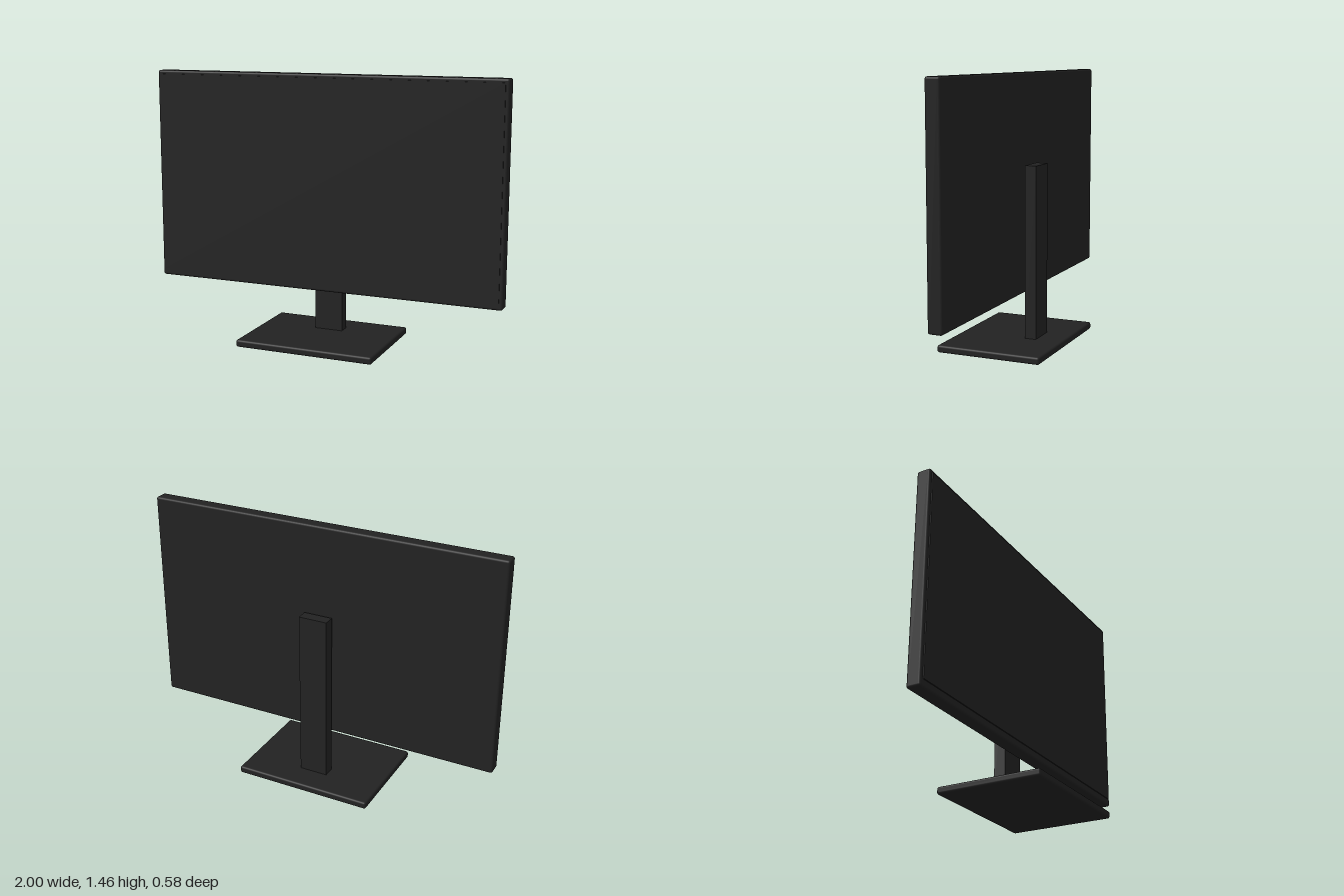
import * as THREE from 'three';
import { RoundedBoxGeometry } from 'three/addons/geometries/RoundedBoxGeometry.js';

export function createModel() {
  const model = new THREE.Group();
  model.name = 'monitor';

  const plastic = new THREE.MeshStandardMaterial({ color: 0x222222 });
  plastic.name = 'black plastic';

  // Adds a box spanning the given ranges, with rounded edges if a radius is set
  function addBox(name, [x0, x1], [y0, y1], [z0, z1], radius = 0) {
    const size = [x1 - x0, y1 - y0, z1 - z0];
    const geometry = radius
      ? new RoundedBoxGeometry(...size, 3, radius)
      : new THREE.BoxGeometry(...size);
    const mesh = new THREE.Mesh(geometry, plastic);
    mesh.name = name;
    mesh.position.set((x0 + x1) / 2, (y0 + y1) / 2, (z0 + z1) / 2);
    model.add(mesh);
  }

  // Display: rounded housing with a thin screen plate standing proud of it
  addBox('housing', [-1, 1], [0.282, 1.463], [-0.064, 0.014], 0.012);
  addBox('screen', [-0.98, 0.98], [0.322, 1.443], [0.011, 0.019]);

  // Stand: upright column behind the display and a flat rounded foot
  addBox('column', [-0.08, 0.08], [0.03, 0.977], [-0.145, -0.081]);
  addBox('base', [-0.39, 0.39], [0, 0.04], [-0.291, 0.291], 0.012);

  return model;
}
